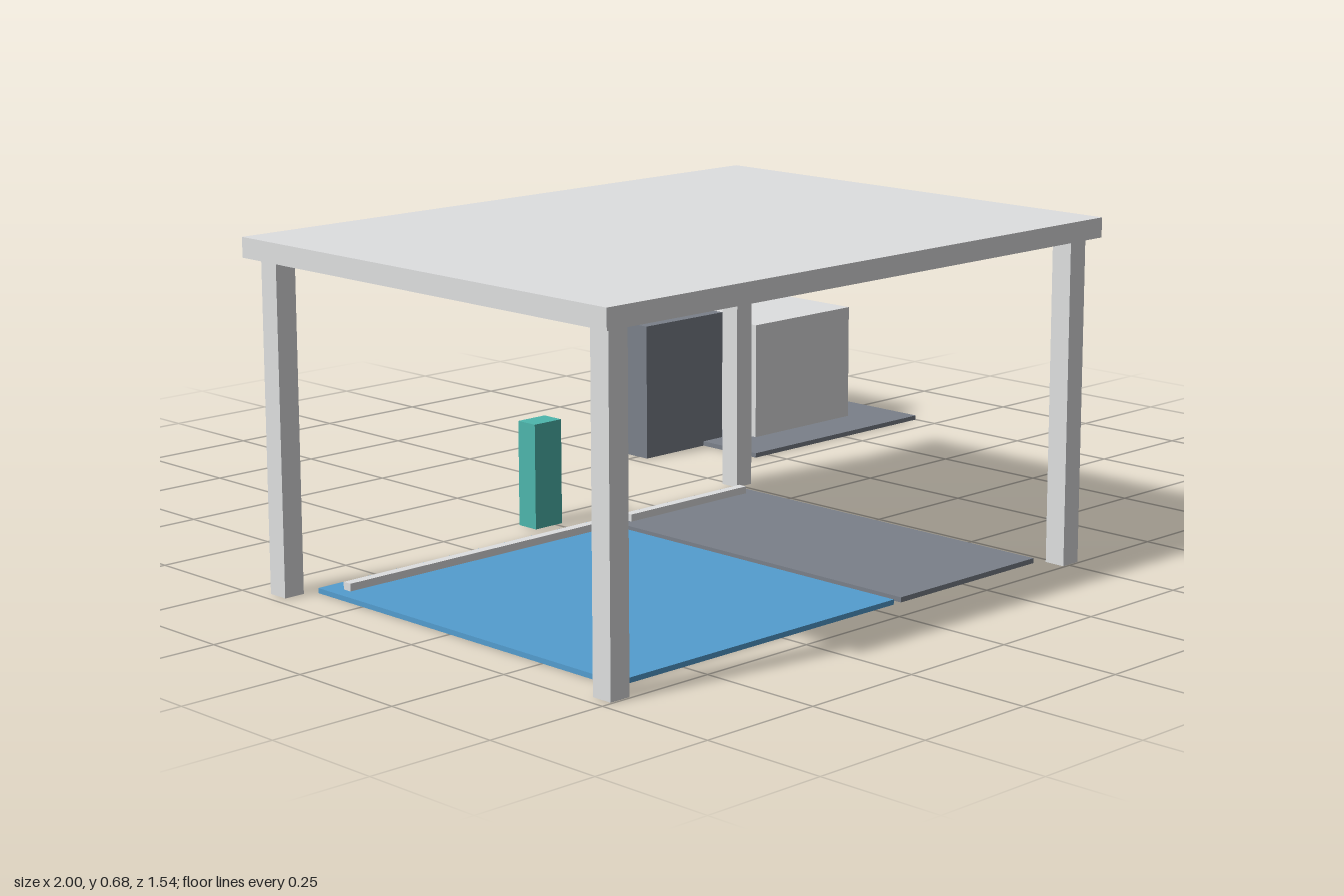
import * as THREE from 'three';

const flat = (name, color) => {
  const m = new THREE.MeshStandardMaterial({ color });
  m.name = name;
  return m;
};

export function createModel() {
  const model = new THREE.Group();
  model.name = 'carportWithEquipment';
  const lightGrey = flat('lightGrey', 0xdedfe0);
  const darkGrey = flat('darkGrey', 0x7a808a);
  const blue = flat('blue', 0x539dcf);
  const teal = flat('teal', 0x4db6ac);

  // Box given by its extents on each axis
  const block = (name, material, [x0, x1], [y0, y1], [z0, z1], parent = model) => {
    const mesh = new THREE.Mesh(new THREE.BoxGeometry(x1 - x0, y1 - y0, z1 - z0), material);
    mesh.position.set((x0 + x1) / 2, (y0 + y1) / 2, (z0 + z1) / 2);
    mesh.name = name;
    parent.add(mesh);
  };

  // Carport: flat roof on four square posts
  const carport = new THREE.Group();
  carport.name = 'carport';
  model.add(carport);
  block('roof', lightGrey, [-1, 0.303], [0.645, 0.684], [-0.217, 0.767], carport);
  for (const [side, x] of [['right', -0.955], ['left', 0.258]]) {
    for (const [end, z] of [['Front', 0.724], ['Back', -0.169]]) {
      block(side + end + 'Post', lightGrey, [x - 0.022, x + 0.022], [0, 0.645], [z - 0.022, z + 0.022], carport);
    }
  }

  // Parking bays with a wheel stop at the back of each
  const bays = [
    ['wideBay', blue, -0.91, -0.198],
    ['narrowBay', darkGrey, -0.178, 0.213],
  ];
  for (const [name, material, x0, x1] of bays) {
    block(name, material, [x0, x1], [0, 0.01], [-0.132, 0.69]);
    block(name + 'WheelStop', lightGrey, [x0 + 0.028, x1 - 0.028], [0.008, 0.025], [-0.09, -0.07]);
  }

  // Charging post behind the bays
  block('chargingPost', teal, [-0.305, -0.233], [0, 0.219], [-0.24, -0.19]);

  // Equipment pad with its housing and the cabinet beside it
  block('equipmentPad', darkGrey, [0.46, 1], [0, 0.01], [-0.768, -0.308]);
  block('equipmentHousing', lightGrey, [0.573, 0.884], [0.002, 0.27], [-0.655, -0.418]);
  block('cabinet', darkGrey, [0.282, 0.52], [0, 0.3], [-0.604, -0.473]);

  return model;
}
